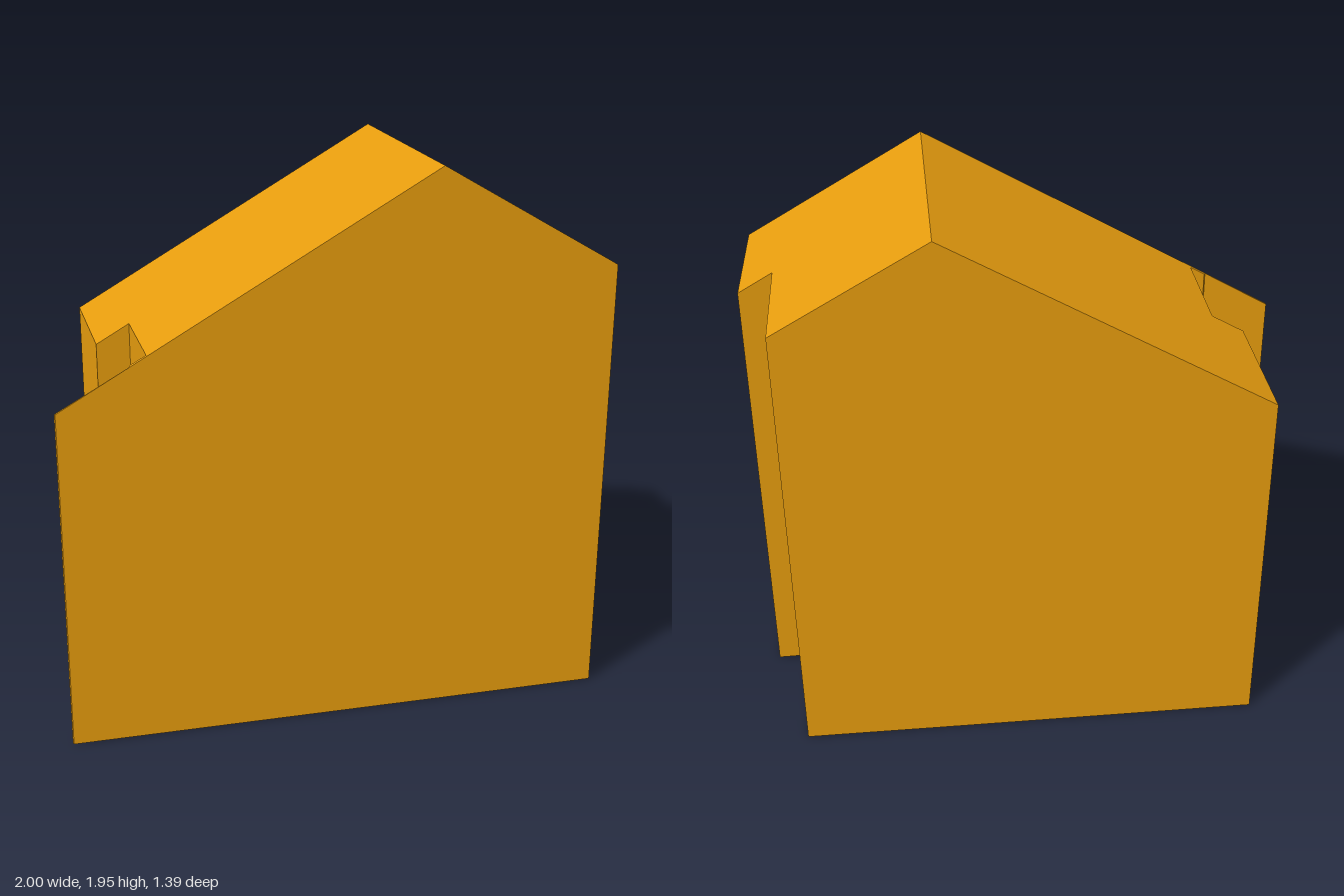
import * as THREE from 'three';

// Ground plan as [x, z], counter-clockwise seen from above
const ridgeFront = [0.225, 0.505], ridgeBack = [0.505, -0.36];
const rightPlan = [[0.825, 0.695], [0.975, 0.27], [0.86, 0.235], [1, -0.2]];
const leftPlan = [
  [-0.555, -0.7], [-0.705, -0.215], [-0.595, -0.18], [-0.71, 0.19], // back and notched side
  [-0.76, 0.172], [-0.77, 0.183], [-1, 0.102], [-1, 0.112],         // thin wing wall
];
const RIDGE = 1.95, SLOPE = 0.577;

// Roof height falls evenly with the distance from the ridge line
function roofHeight([x, z]) {
  const dx = ridgeBack[0] - ridgeFront[0], dz = ridgeBack[1] - ridgeFront[1];
  const across = (x - ridgeFront[0]) * dz - (z - ridgeFront[1]) * dx;
  return RIDGE - SLOPE * Math.abs(across) / Math.hypot(dx, dz);
}
const top = (p) => [p[0], roofHeight(p), p[1]];
const base = (p) => [p[0], 0, p[1]];

function meshOf(name, triangles, material) {
  const geometry = new THREE.BufferGeometry();
  geometry.setAttribute('position', new THREE.Float32BufferAttribute(triangles.flat(2), 3));
  geometry.computeVertexNormals();
  const mesh = new THREE.Mesh(geometry, material);
  mesh.name = name;
  return mesh;
}

// Fills a plan outline, lifting each corner with the given rule
function cap(outline, lift, flip = false) {
  const flat = outline.map(([x, z]) => new THREE.Vector2(x, -z));
  return THREE.ShapeUtils.triangulateShape(flat, []).map((t) => {
    const corners = t.map((i) => lift(outline[i]));
    return flip ? corners.reverse() : corners;
  });
}

export function createModel() {
  const group = new THREE.Group();
  group.name = 'gabledBuilding';
  const material = new THREE.MeshStandardMaterial({ color: 0xe69c0e, flatShading: true });

  const outline = [...rightPlan, ridgeBack, ...leftPlan, ridgeFront];

  // Walls rise from the ground to the roof
  const walls = outline.flatMap((p, i) => {
    const q = outline[(i + 1) % outline.length];
    return [[base(p), base(q), top(q)], [base(p), top(q), top(p)]];
  });

  group.add(
    meshOf('walls', walls, material),
    meshOf('rightRoofSlope', cap([...rightPlan, ridgeBack, ridgeFront], top), material),
    meshOf('leftRoofSlope', cap([ridgeBack, ...leftPlan, ridgeFront], top), material),
    meshOf('floor', cap(outline, base, true), material),
  );
  return group;
}
